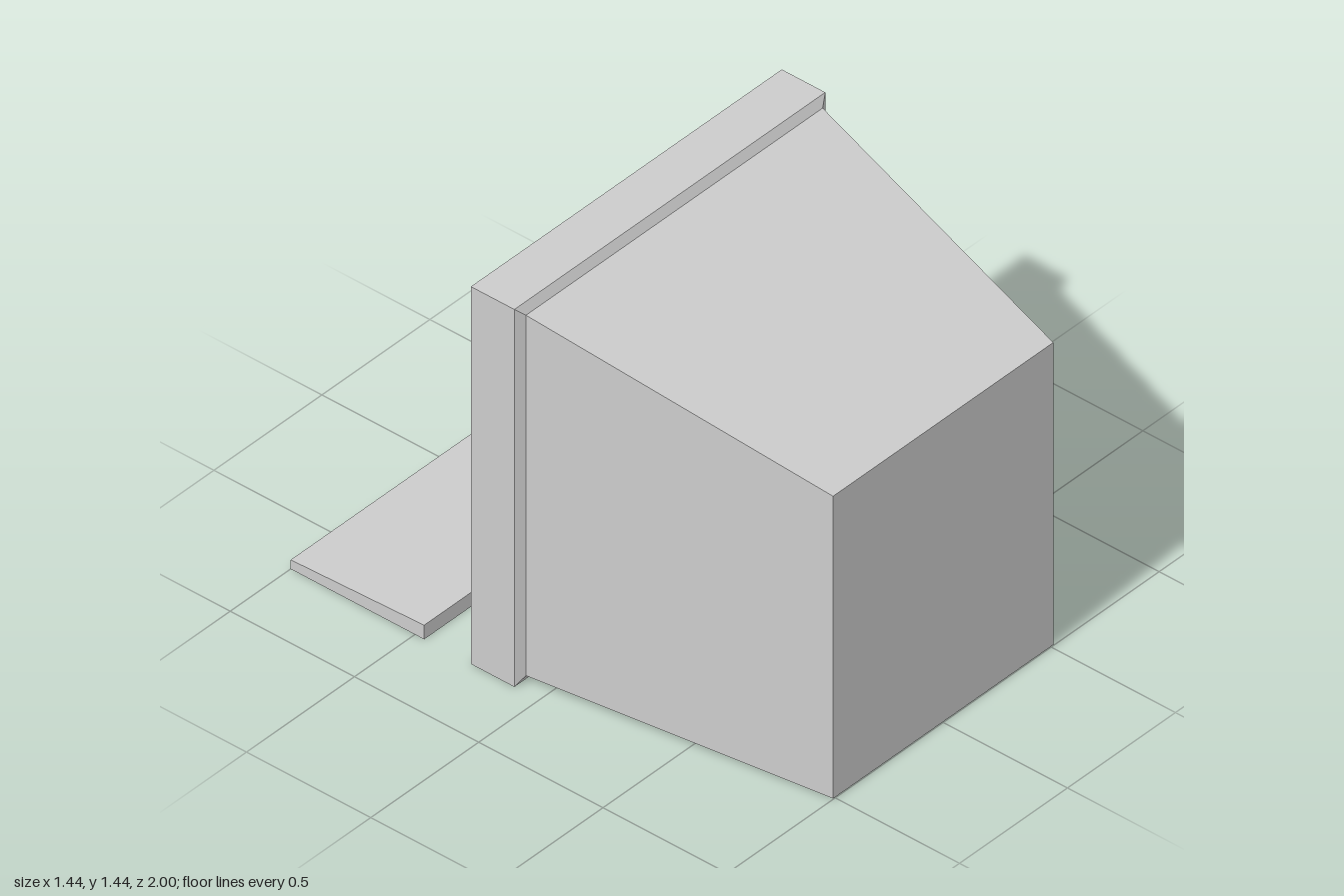
import * as THREE from 'three';

const material = new THREE.MeshStandardMaterial({ color: 0xcccccc, flatShading: true });

// Skins rectangular sections [halfWidth, bottom, top, z], optionally closing the ends
function loft(name, sections, capStart, capEnd) {
  const positions = [];
  const loops = sections.map(([w, y0, y1, z]) => [[-w, y0, z], [w, y0, z], [w, y1, z], [-w, y1, z]]);
  const quad = (a, b, c, d) => positions.push(...a, ...b, ...c, ...a, ...c, ...d);
  for (let k = 0; k < loops.length - 1; k++) {
    for (let i = 0; i < 4; i++) {
      const j = (i + 1) % 4;
      quad(loops[k][i], loops[k][j], loops[k + 1][j], loops[k + 1][i]);
    }
  }
  if (capStart) quad(...[...loops[0]].reverse());
  if (capEnd) quad(...loops[loops.length - 1]);
  const geometry = new THREE.BufferGeometry();
  geometry.setAttribute('position', new THREE.Float32BufferAttribute(positions, 3));
  geometry.computeVertexNormals();
  const mesh = new THREE.Mesh(geometry, material);
  mesh.name = name;
  return mesh;
}

export function createModel() {
  const model = new THREE.Group();
  model.name = 'monitorAndKeyboard';

  const screenEdge = [0.658, 0.062, 1.38, -0.235];
  const openingEdge = [0.658, 0.062, 1.38, -0.275];
  const rimBack = [0.72, 0, 1.442, -0.275];
  const rimFront = [0.72, 0, 1.442, -0.1];
  const neck = [0.687, 0.033, 1.41, -0.082];
  const housingEnd = [0.51, 0.003, 1.158, 1];

  // Flat recessed screen
  model.add(loft('screen', [screenEdge], true, false));
  // Rim with recess walls, lip, outer sides and chamfer
  model.add(loft('bezel', [screenEdge, openingEdge, rimBack, rimFront, neck], false, false));
  // Tapering tube housing
  model.add(loft('housing', [neck, housingEnd], false, true));
  // Wedge-shaped keyboard
  model.add(loft('keyboard', [[0.72, 0, 0.035, -1], [0.72, 0, 0.054, -0.463]], true, true));

  return model;
}
